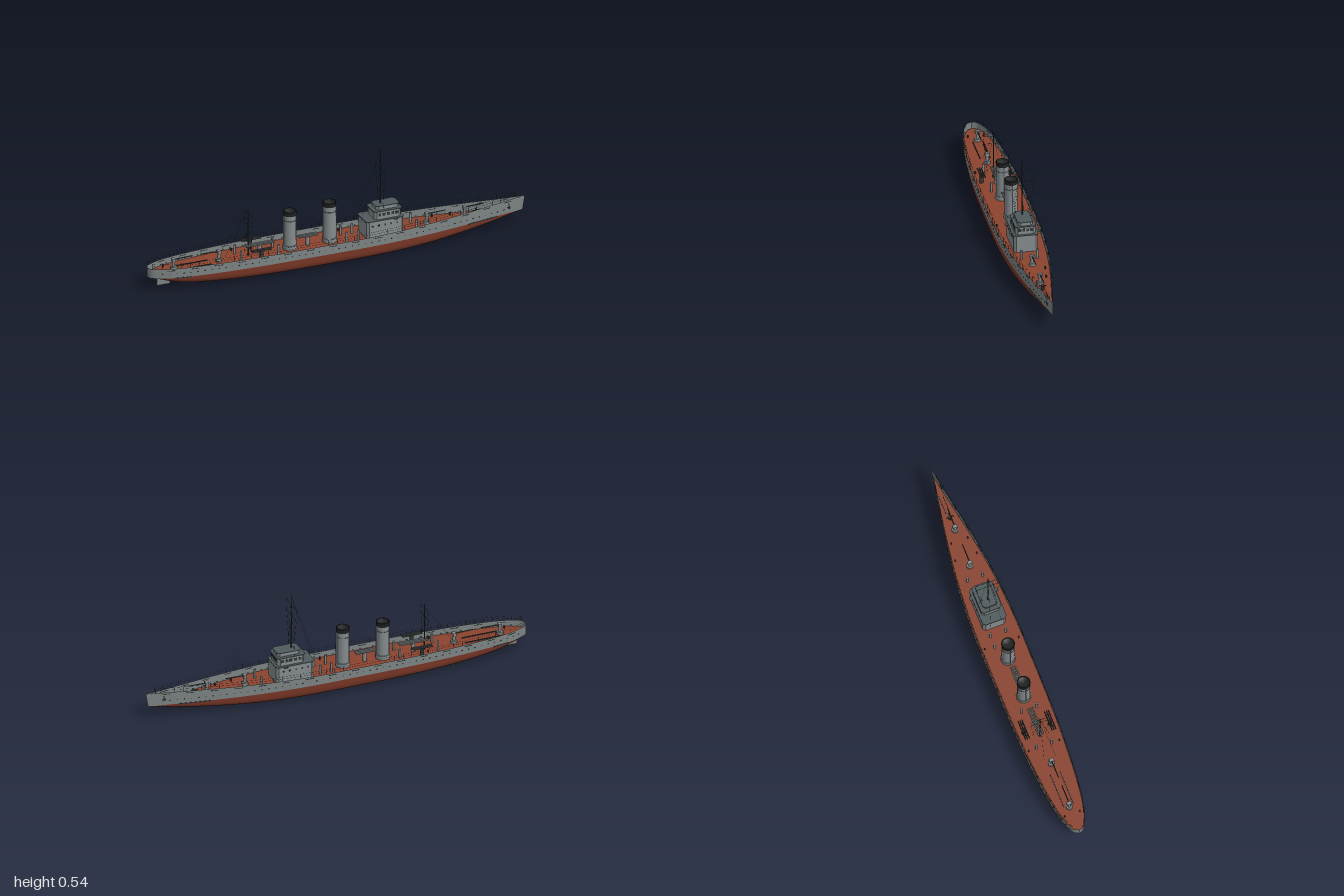
import * as THREE from 'three';
import { mergeGeometries } from 'three/addons/utils/BufferGeometryUtils.js';

const mat = (name, color, side = THREE.FrontSide) => {
  const m = new THREE.MeshStandardMaterial({ color, side });
  m.name = name;
  return m;
};
const V = (x, y, z) => new THREE.Vector3(x, y, z);

// Smooth lookup in a short table of [x, value]
function lookup(table, x) {
  let i = 0;
  while (i < table.length - 2 && x > table[i + 1][0]) i++;
  const slope = (j) => {
    const a = table[Math.max(j - 1, 0)], b = table[Math.min(j + 1, table.length - 1)];
    return (b[1] - a[1]) / (b[0] - a[0]);
  };
  const [x0, y0] = table[i], [x1, y1] = table[i + 1], h = x1 - x0, t = (x - x0) / h;
  return (1 + 2 * t) * (1 - t) ** 2 * y0 + t * (1 - t) ** 2 * h * slope(i)
    + t * t * (3 - 2 * t) * y1 + t * t * (t - 1) * h * slope(i + 1);
}
const beamTable = [[-1, 0], [-0.99, 0.022], [-0.97, 0.036], [-0.9, 0.062], [-0.8, 0.08], [-0.6, 0.098], [-0.4, 0.107],
  [-0.1, 0.11], [0.15, 0.109], [0.35, 0.098], [0.5, 0.082], [0.65, 0.06], [0.8, 0.034], [0.92, 0.012], [1, 0]];
const keelTable = [[-1, 0.07], [-0.96, 0.063], [-0.9, 0.042], [-0.8, 0.022], [-0.6, 0.008], [-0.3, 0.001], [0, 0],
  [0.3, 0.002], [0.5, 0.01], [0.7, 0.027], [0.85, 0.045], [1, 0.07]];
const beam = (x) => Math.max(0, lookup(beamTable, x));
const keel = (x) => Math.min(0.07, lookup(keelTable, x));
const sheer = (x) => 0.12 + (x > 0.1 ? 0.023 * ((x - 0.1) / 0.9) ** 1.3 : 0);
const WATER = 0.07, DECK = 0.088;

// Surface through cross-sections taken along the ship
function loft(section, stations = 72) {
  const pos = [], idx = [];
  let n = 0;
  for (let i = 0; i <= stations; i++) {
    const pts = section(-Math.cos(Math.PI * i / stations));
    n = pts.length;
    pts.forEach((p) => pos.push(...p));
    if (i) for (let j = 0; j < n - 1; j++) {
      const a = (i - 1) * n + j, b = i * n + j;
      idx.push(a, a + 1, b, b, a + 1, b + 1);
    }
  }
  const g = new THREE.BufferGeometry();
  g.setAttribute('position', new THREE.Float32BufferAttribute(pos, 3));
  g.setIndex(idx);
  g.computeVertexNormals();
  return g;
}

// Thin rod between two points
function rod(a, b, r = 0.0008, r2 = r, sides = 4) {
  const d = b.clone().sub(a);
  const g = new THREE.CylinderGeometry(r2, r, d.length(), sides);
  g.applyQuaternion(new THREE.Quaternion().setFromUnitVectors(V(0, 1, 0), d.normalize()));
  return g.translate((a.x + b.x) / 2, (a.y + b.y) / 2, (a.z + b.z) / 2);
}
const box = (w, h, d, x, y, z) => new THREE.BoxGeometry(w, h, d).translate(x, y, z);
const cyl = (r, h, x, y, z, sides = 16, r2 = r) => new THREE.CylinderGeometry(r2, r, h, sides).translate(x, y + h / 2, z);

// Plate lying along the hull side s, following its plan curve
function sidePlate(x, y, s, w, h) {
  const turn = -Math.atan2(s * (beam(x + w / 2) - beam(x - w / 2)), w);
  return new THREE.BoxGeometry(w, h, 0.003).rotateY(turn).translate(x, y, s * beam(x));
}

// Deckhouse tier with cut corners
function tier(x0, x1, hz, y0, y1, c = 0.012) {
  const s = new THREE.Shape([[x0 + c, -hz], [x1 - c, -hz], [x1, c - hz], [x1, hz - c], [x1 - c, hz], [x0 + c, hz],
    [x0, hz - c], [x0, c - hz]].map((p) => new THREE.Vector2(...p)));
  return new THREE.ExtrudeGeometry(s, { depth: y1 - y0, bevelEnabled: false }).rotateX(-Math.PI / 2).translate(0, y0, 0);
}

export function createModel() {
  const ship = new THREE.Group();
  ship.name = 'warship';
  const red = mat('bottomRed', 0x783626, THREE.DoubleSide);
  const deckRed = mat('deckRed', 0x8a432f, THREE.DoubleSide);
  const hullGrey = mat('hullGrey', 0x7d8384, THREE.DoubleSide);
  const grey = mat('upperGrey', 0x858c8e);
  const roofGrey = mat('roofGrey', 0x505a5c);
  const dark = mat('darkFittings', 0x34393a);
  const black = mat('black', 0x1e2121);
  const add = (name, material, ...geos) => {
    const g = geos.length > 1 ? mergeGeometries(geos.map((q) => (q.index ? q.toNonIndexed() : q))) : geos[0];
    const m = new THREE.Mesh(g, material);
    m.name = name;
    ship.add(m);
  };

  // Hull: red bottom, grey topsides and bulwark, recessed deck
  const rake = (x) => (x > 0.8 ? x - (x - 0.8) * 0.06 : x);
  add('hullBottom', red, loft((x) => {
    const n = 1.5 + 2.5 * (1 - Math.abs(x) ** 3), w = beam(x), k = keel(x), pts = [];
    for (let j = 0; j <= 24; j++) {
      const a = Math.PI * (j / 24 - 0.5), s = Math.sin(a);
      pts.push([rake(x), WATER - (WATER - k) * Math.max(0, Math.cos(a)) ** (2 / n), w * Math.sign(s) * Math.abs(s) ** (2 / n)]);
    }
    return pts;
  }));
  for (const s of [1, -1]) {
    add(s > 0 ? 'leftHullSide' : 'rightHullSide', hullGrey,
      loft((x) => [[rake(x), WATER, s * beam(x)], [x, sheer(x), s * beam(x)]]));
  }
  add('deck', deckRed, loft((x) => [[x * 0.992, DECK, -beam(x) * 0.99], [x * 0.992, DECK, beam(x) * 0.99]]));

  // Rudder, shaft and propeller
  add('rudder', hullGrey, box(0.07, 0.05, 0.006, -0.915, 0.04, 0));
  add('propeller', dark, rod(V(-0.87, 0.024, 0), V(-0.78, 0.03, 0), 0.003), box(0.004, 0.026, 0.006, -0.868, 0.024, 0),
    box(0.004, 0.006, 0.026, -0.868, 0.024, 0));

  // Portholes, scuttle strips, waterline strips and anchors on both sides
  const ports = [], rails = [], anchors = [];
  for (const s of [1, -1]) {
    for (let x = -0.94; x < 0.95; x += 0.035) ports.push(sidePlate(x, 0.093, s, 0.006, 0.003));
    for (let x = -0.9; x < 0.9; x += 0.12) ports.push(sidePlate(x, sheer(x) - 0.01, s, 0.04, 0.002));
    for (const x of [0.7, 0.74, 0.78, 0.82, -0.86, -0.82]) ports.push(sidePlate(x, 0.069, s, 0.042, 0.005));
    anchors.push(sidePlate(0.91, 0.11, s, 0.006, 0.022), sidePlate(0.91, 0.1, s, 0.018, 0.006));
    // Guard rails
    let last = null;
    for (let x = -0.985; x < 0.97; x += 0.045) {
      const p = V(x, sheer(x), s * beam(x) * 0.98);
      rails.push(rod(p, V(x, p.y + 0.024, p.z)));
      if (last) for (const h of [0.012, 0.024]) rails.push(rod(V(last.x, last.y + h, last.z), V(x, p.y + h, p.z), 0.0005));
      last = p;
    }
  }
  add('portholes', dark, ...ports);
  add('anchors', black, ...anchors);
  add('guardRails', dark, ...rails);

  // Bridge: two tiers, overhanging roofs and an upper platform
  add('bridgeTiers', grey, tier(0.14, 0.335, 0.06, DECK, 0.175), tier(0.185, 0.325, 0.05, 0.178, 0.218),
    tier(0.2, 0.32, 0.036, 0.222, 0.24));
  add('bridgeRoofs', roofGrey, tier(0.135, 0.338, 0.063, 0.175, 0.179), tier(0.18, 0.33, 0.053, 0.218, 0.223),
    tier(0.197, 0.323, 0.038, 0.24, 0.243), box(0.02, 0.002, 0.148, 0.29, 0.176, 0));
  const windows = [];
  for (const z of [-0.028, -0.01, 0.01, 0.028]) windows.push(box(0.003, 0.015, 0.014, 0.325, 0.203, z));
  for (const s of [1, -1]) {
    for (let i = 0; i < 5; i++) windows.push(box(0.015, 0.014, 0.003, 0.21 + i * 0.023, 0.203, s * 0.05));
    for (let i = 0; i < 5; i++) windows.push(box(0.008, 0.008, 0.003, 0.17 + i * 0.032, 0.152, s * 0.06));
  }
  add('bridgeWindows', dark, ...windows);

  // Funnels with black caps, steam pipes and bands
  for (const [x, top] of [[-0.245, 0.29], [-0.035, 0.3]]) {
    add('funnel', grey, cyl(0.032, top - 0.02 - DECK, x, DECK, 0, 28, 0.031), cyl(0.036, 0.022, x, DECK, 0, 28),
      ...[1, -1].map((d) => rod(V(x + d * 0.034, DECK, 0), V(x + d * 0.034, top - 0.025, 0), 0.003, 0.003, 8)));
    const cap = new THREE.LatheGeometry([[0.0325, top - 0.022], [0.0335, top - 0.001], [0.032, top], [0.029, top],
      [0.029, top - 0.015], [0, top - 0.015]].map((p) => new THREE.Vector2(...p)), 28);
    add('funnelCap', black, cap.translate(x, 0, 0));
    add('funnelBand', roofGrey, cyl(0.0328, 0.003, x, top - 0.05, 0, 28));
  }

  // Masts with yards and rigging
  const spars = [], rigging = [];
  for (const [x, base, top, yards, reach, foot] of [
    [0.235, 0.22, 0.535, [0.483, 0.423], 0.067, V(0.12, 0.175, 0)],
    [-0.465, DECK, 0.335, [0.315, 0.275], 0.05, V(-0.6, 0.12, 0)]]) {
    spars.push(rod(V(x, base, 0), V(x, top, 0), 0.0042, 0.0016, 8));
    for (const y of yards) spars.push(rod(V(x, y, -reach), V(x, y, reach), 0.001));
    for (const s of [1, -1]) {
      for (const y of yards) rigging.push(rod(V(x, y, s * reach), V(x, base + 0.03, s * 0.03), 0.0004));
      rigging.push(rod(V(x, top - 0.02, 0), V(x, base, s * 0.045), 0.0005),
        rod(V(x, top - 0.005, 0), V(foot.x, foot.y, s * 0.03), 0.0005));
    }
  }
  add('mastsAndYards', dark, ...spars);
  add('rigging', dark, ...rigging);

  // Deck guns: pedestal, low shield and barrel; d is the way the barrel points
  for (const [x, d] of [[0.48, 1], [0.68, 1], [-0.62, -1], [-0.86, 1]]) {
    add('gunMount', grey, cyl(0.016, 0.014, x, DECK, 0, 16), cyl(0.008, 0.05, x, DECK, 0, 10),
      box(0.016, 0.016, 0.024, x, DECK + 0.048, 0));
    add('gunBarrel', dark, rod(V(x, DECK + 0.05, 0), V(x + d * 0.1, DECK + 0.053, 0), 0.0035, 0.0022, 8));
  }

  // Triple torpedo tubes on the centreline and at each side
  const tubes = (x, z, len, gap, r, material) => {
    add('torpedoTubes', material, cyl(0.01, 0.05, x, DECK, z, 14),
      ...[-gap, 0, gap].map((o) => rod(V(x - len / 2, 0.14, z + o), V(x + len / 2, 0.14, z + o), r, r, 8)),
      ...[-0.3, 0.3].map((t) => box(0.006, 0.004, gap * 2, x + t * len, 0.139, z)));
  };
  tubes(-0.405, 0, 0.15, 0.012, 0.0042, grey);
  tubes(-0.15, 0, 0.1, 0.012, 0.0042, grey);
  for (const s of [1, -1]) {
    tubes(-0.425, s * 0.069, 0.105, 0.01, 0.003, dark);
    // Mine rails, bollards and ventilators
    add('mineRail', dark, box(0.18, 0.004, 0.004, -0.76, DECK + 0.002, s * 0.025));
    add('bollards', dark, ...[-0.9, -0.52, 0.05, 0.53, 0.62].map((x) => cyl(0.004, 0.014, x, DECK, s * (beam(x) - 0.022), 8)));
    add('ventilators', grey, ...[-0.52, -0.32, 0.04, 0.1, 0.41].map((x) => cyl(0.006, 0.05, x, DECK, s * 0.04, 10)));
  }

  // Capstan and anchor chains
  add('capstan', dark, cyl(0.009, 0.022, 0.745, DECK, 0, 12), box(0.04, 0.004, 0.005, 0.745, DECK + 0.022, 0),
    box(0.005, 0.004, 0.036, 0.745, DECK + 0.022, 0),
    ...[1, -1].map((s) => box(0.1, 0.004, 0.003, 0.82, DECK + 0.002, s * 0.01)));
  return ship;
}
